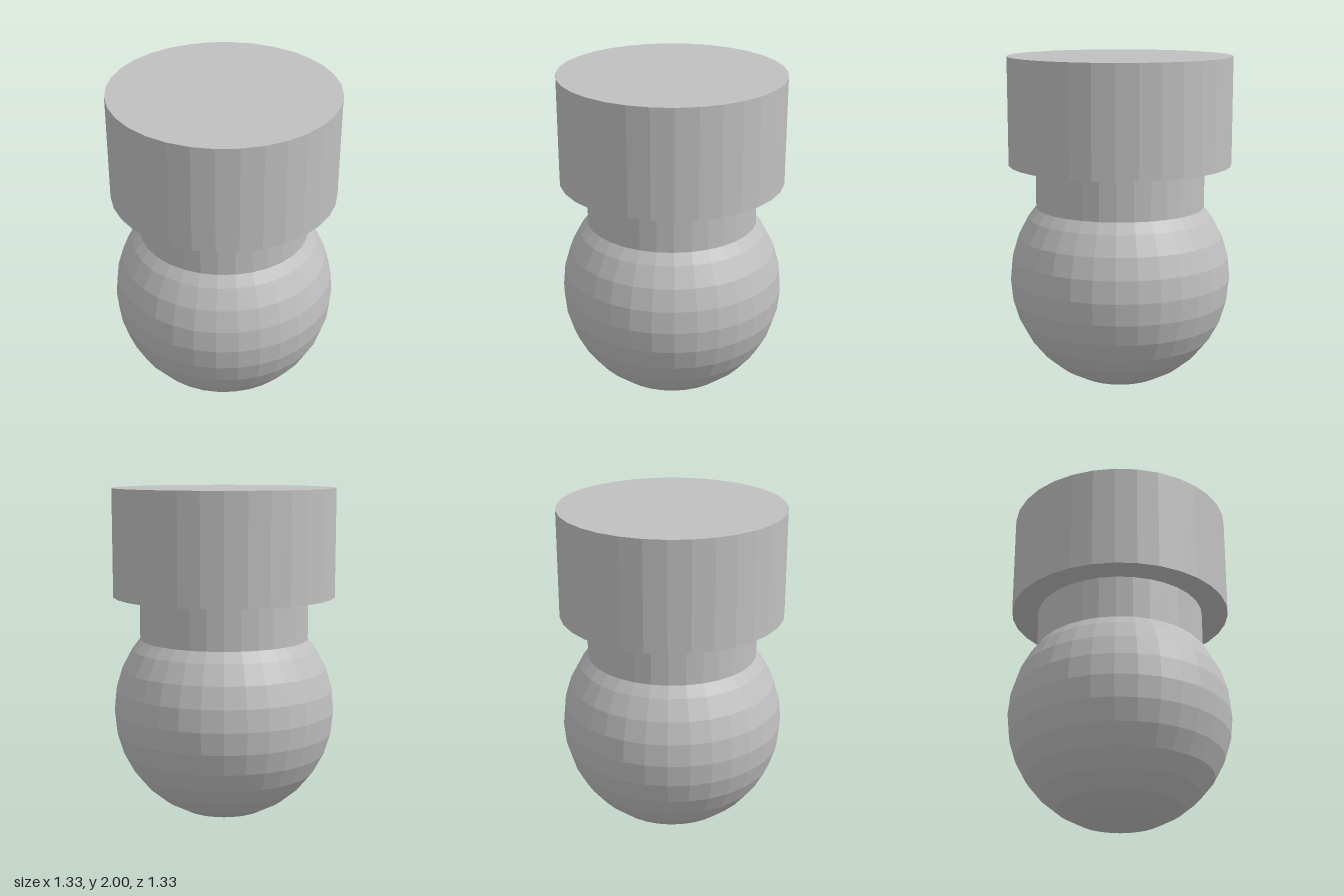
import * as THREE from 'three';

const SIDES = 32;
const R = 0.667; // ball and cap radius
const NECK_R = 0.507;
const NECK_BOTTOM = 1.1;
const CAP_BOTTOM = 1.36;
const TOP = 2;

export function createModel() {
  const group = new THREE.Group();
  group.name = 'ballKnob';
  const grey = new THREE.MeshStandardMaterial({ color: 0xc0c0c0, flatShading: true });
  grey.name = 'grey';

  const add = (name, geometry, y = 0) => {
    const mesh = new THREE.Mesh(geometry, grey);
    mesh.name = name;
    mesh.position.y = y;
    group.add(mesh);
  };

  // Faceted ball: rings every 11.25 degrees, cut off where the neck begins
  const profile = [];
  for (let i = 0; i <= 11; i++) {
    const a = (i * Math.PI) / 16;
    profile.push(new THREE.Vector2(R * Math.sin(a), R - R * Math.cos(a)));
  }
  profile.push(new THREE.Vector2(NECK_R, NECK_BOTTOM));
  add('ball', new THREE.LatheGeometry(profile, SIDES));

  // Neck, open at both ends where it meets the ball and cap
  const neckHeight = CAP_BOTTOM - NECK_BOTTOM;
  add('neck', new THREE.CylinderGeometry(NECK_R, NECK_R, neckHeight, SIDES, 1, true), NECK_BOTTOM + neckHeight / 2);

  // Wide cylindrical cap
  const capHeight = TOP - CAP_BOTTOM;
  add('cap', new THREE.CylinderGeometry(R, R, capHeight, SIDES), CAP_BOTTOM + capHeight / 2);

  return group;
}
